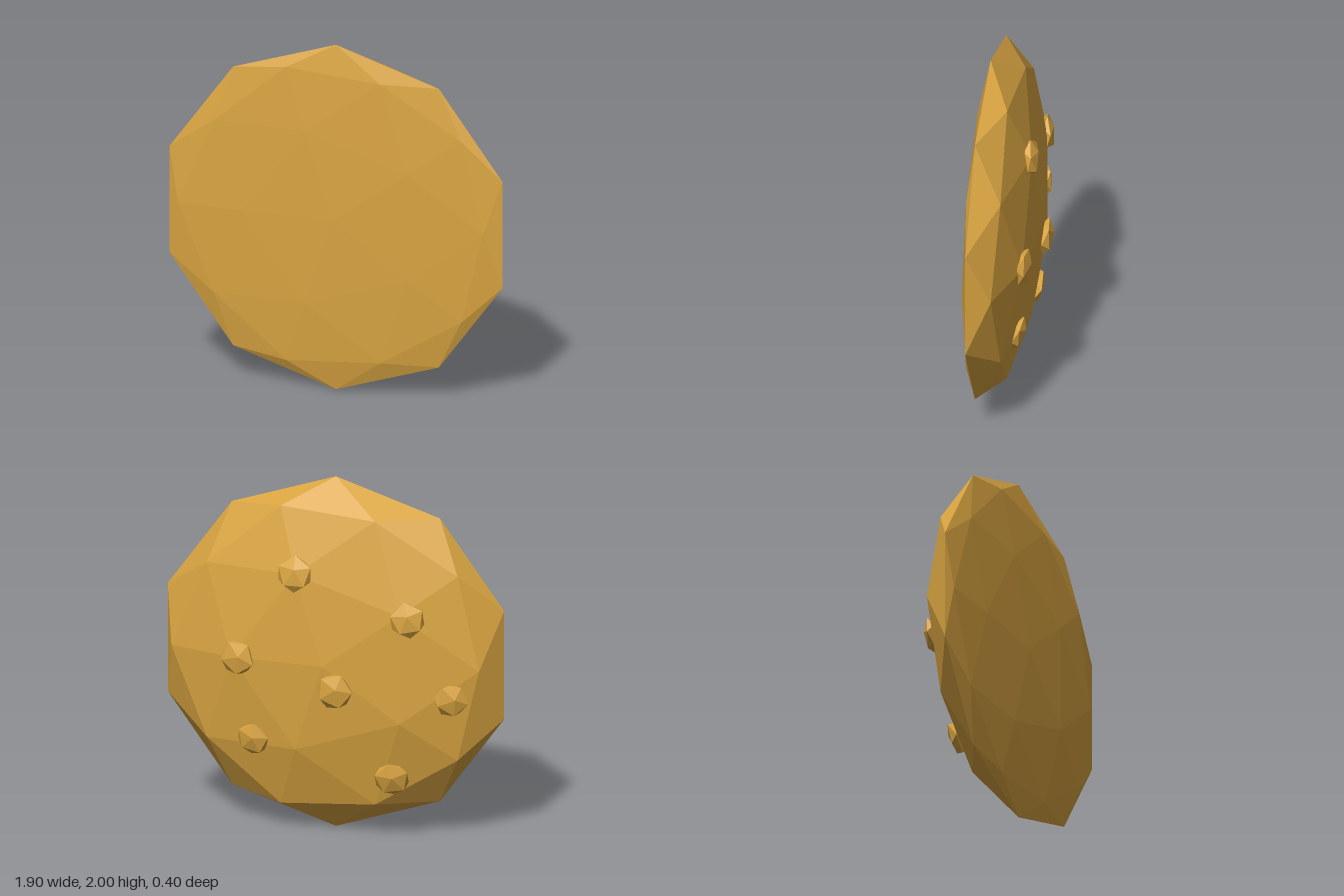
import * as THREE from 'three';

const RIM_Z = 0.135;      // plane of the widest outline
const FRONT_DEPTH = 0.065;
const BACK_DEPTH = 0.295;

// Faceted ball with a five-fold vertex on each end of the z axis
function facetedBall(radius, detail) {
  const g = new THREE.IcosahedronGeometry(radius, detail);
  g.rotateX(Math.atan(2 / (1 + Math.sqrt(5))));
  g.rotateZ(-Math.PI / 2);
  return g;
}

export function createModel() {
  const model = new THREE.Group();
  model.name = 'cookie';
  const material = new THREE.MeshStandardMaterial({ color: 0xd9a441, flatShading: true });

  // Disc: nearly flat front, domed back
  const disc = facetedBall(1, 1);
  const p = disc.attributes.position;
  for (let i = 0; i < p.count; i++) {
    const z = p.getZ(i);
    p.setZ(i, z * (z > 0 ? FRONT_DEPTH : BACK_DEPTH));
  }
  disc.computeVertexNormals();
  const body = new THREE.Mesh(disc, material);
  body.name = 'discBody';
  body.position.set(0, 1, RIM_Z);
  model.add(body);

  // Flattened chips lying on the domed back: x, y, z, radius, spin
  const chips = [
    [0.165, 1.505, -0.118, 0.108, 0.3],
    [0.49, 1.0, -0.118, 0.108, 1.0],
    [-0.47, 1.29, -0.11, 0.106, 0.1],
    [-0.07, 0.865, -0.162, 0.11, 0.7],
    [0.41, 0.53, -0.08, 0.1, 0.5],
    [-0.705, 0.835, -0.062, 0.1, 0.9],
    [-0.37, 0.36, -0.066, 0.106, 0.2],
  ];
  const back = new THREE.Vector3(0, 0, -1);
  chips.forEach(([x, y, z, r, spin], i) => {
    const g = facetedBall(r, 0);
    g.rotateX(0.25);
    g.rotateZ(spin);
    g.scale(1, 1, 0.38);
    g.computeVertexNormals();
    const chip = new THREE.Mesh(g, material);
    chip.name = `chip${i + 1}`;
    chip.position.set(x, y, z);
    // Tilt to the slope of the dome
    const normal = new THREE.Vector3(x, y - 1, (z - RIM_Z) / BACK_DEPTH ** 2).normalize();
    chip.quaternion.setFromUnitVectors(back, normal);
    model.add(chip);
  });

  return model;
}
